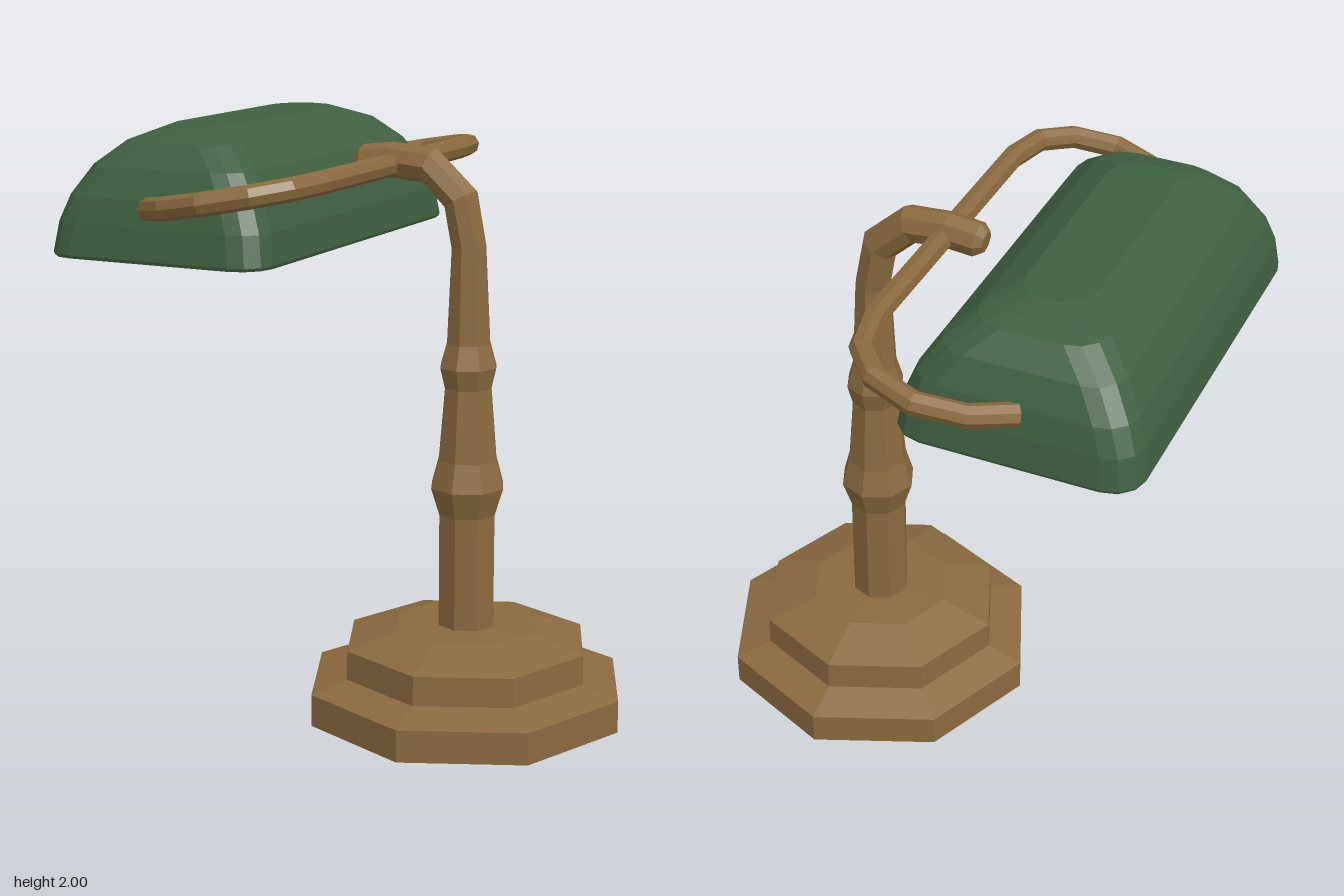
import * as THREE from 'three';

const V = (x, y, z) => new THREE.Vector3(x, y, z);

// Skin a list of equal-length rings (counter-clockwise about the path), capped at both ends.
function loft(rings) {
  const pos = [];
  const tri = (...p) => p.forEach((v) => pos.push(v.x, v.y, v.z));
  const n = rings[0].length;
  for (let i = 0; i < rings.length - 1; i++) {
    for (let j = 0; j < n; j++) {
      const k = (j + 1) % n;
      const [a, b, c, d] = [rings[i][j], rings[i][k], rings[i + 1][k], rings[i + 1][j]];
      tri(a, b, c);
      tri(a, c, d);
    }
  }
  const cap = (ring, flip) => {
    const mid = ring.reduce((s, p) => s.add(p), V(0, 0, 0)).divideScalar(n);
    ring.forEach((p, j) => {
      const q = ring[(j + 1) % n];
      flip ? tri(mid, q, p) : tri(mid, p, q);
    });
  };
  cap(rings[0], true);
  cap(rings[rings.length - 1], false);
  const g = new THREE.BufferGeometry();
  g.setAttribute('position', new THREE.Float32BufferAttribute(pos, 3));
  g.computeVertexNormals();
  return g;
}

// Sweep a polygon along a planar path; normal is the plane's normal.
function sweep(points, radii, normal, sides = 8) {
  const rings = points.map((p, i) => {
    const before = points[Math.max(i - 1, 0)];
    const after = points[Math.min(i + 1, points.length - 1)];
    const t1 = i > 0 ? p.clone().sub(before).normalize() : V(0, 0, 0);
    const t2 = i < points.length - 1 ? after.clone().sub(p).normalize() : V(0, 0, 0);
    const side = t1.add(t2).normalize().cross(normal);
    return Array.from({ length: sides }, (_, j) => {
      const a = (j / sides) * Math.PI * 2;
      return p.clone()
        .addScaledVector(normal, Math.cos(a) * radii[i])
        .addScaledVector(side, Math.sin(a) * radii[i]);
    });
  });
  return loft(rings);
}

// Horizontal rounded rectangle with half sizes hx, hz.
function roundedRing(cx, y, hx, hz, r, steps = 3) {
  const ring = [];
  for (let q = 0; q < 4; q++) {
    const sx = q === 0 || q === 3 ? 1 : -1;
    const sz = q < 2 ? -1 : 1;
    for (let s = 0; s <= steps; s++) {
      const a = (q + s / steps) * Math.PI / 2;
      ring.push(V(cx + sx * (hx - r) + Math.cos(a) * r, y, sz * (hz - r) - Math.sin(a) * r));
    }
  }
  return ring;
}

export function createModel() {
  const group = new THREE.Group();
  const material = (name, color) => {
    const m = new THREE.MeshStandardMaterial({ color });
    m.name = name;
    return m;
  };
  const brass = material('brass', 0x8a6a3e);
  const green = material('greenGlass', 0x3e6040);
  const black = material('blackSocket', 0x0c0c0c);
  const glow = material('bulbGlass', 0xdcc882);
  const add = (name, geometry, mat) => {
    const mesh = new THREE.Mesh(geometry, mat);
    mesh.name = name;
    group.add(mesh);
  };

  // Stepped octagonal base
  const cx = 0.316;
  const base = [[0, 0.555], [0.11, 0.555], [0.15, 0.43], [0.25, 0.427], [0.305, 0.25], [0.306, 0.1]];
  add('base', sweep(base.map(([y]) => V(cx, y, 0)), base.map((b) => b[1]), V(0, 0, 1)), brass);

  // Turned stem that bends over into the hook: x, y, radius
  const stem = [
    [cx, 0.3, 0.1], [cx, 0.695, 0.1], [cx, 0.79, 0.13], [cx, 0.885, 0.104],
    [cx, 1.13, 0.083], [cx, 1.2, 0.1], [cx, 1.28, 0.077], [0.314, 1.6, 0.061],
    [0.284, 1.755, 0.063], [0.17, 1.86, 0.063], [0.04, 1.871, 0.06],
    [-0.065, 1.86, 0.058], [-0.09, 1.857, 0.038],
  ];
  add('stem', sweep(stem.map(([x, y]) => V(x, y, 0)), stem.map((s) => s[2]), V(0, 0, 1)), brass);

  // Yoke holding the shade at both ends, mirrored across z = 0
  const slope = 0.18;
  const half = [[-0.49, 0.68], [-0.37, 0.775], [-0.22, 0.815], [-0.075, 0.775], [0.012, 0.68], [0.045, 0.53]];
  const path = [
    ...half.map(([x, z]) => [x, -z]),
    ...half.slice().reverse(),
  ].map(([x, z]) => V(x, 1.857 + (x - 0.045) * slope, z));
  add('yoke', sweep(path, path.map(() => 0.038), V(-slope, 1, 0).normalize()), brass);

  // Hollow shade: inner skin downward, round the rim, then outer skin upward
  const shade = [
    [1.59, 0.393, 0.717], [1.6, 0.397, 0.72], [1.7, 0.382, 0.703], [1.785, 0.35, 0.68],
    [1.88, 0.29, 0.632], [1.955, 0.205, 0.56], [2.0, 0.113, 0.43],
  ];
  const sx = -0.4775;
  const inner = shade.slice(1).reverse()
    .map(([y, hx, hz]) => roundedRing(sx, y - 0.03 * (y > 1.65), hx - 0.035, hz - 0.035, 0.07));
  const rim = roundedRing(sx, 1.588, 0.37, 0.693, 0.08);
  const outer = shade.map(([y, hx, hz]) => roundedRing(sx, y, hx, hz, 0.105));
  add('shade', loft([...inner, rim, ...outer]), green);

  // Socket and bulb lying along z under the shade: z, radius
  const alongZ = (profile) => sweep(
    profile.map(([z]) => V(-0.43, 1.655, z)), profile.map((p) => p[1]), V(0, 1, 0), 6);
  add('socket', alongZ([[0.44, 0.1], [0.06, 0.13], [-0.06, 0.13], [-0.15, 0.105]]), black);
  add('bulb', alongZ([
    [-0.12, 0.06], [-0.2, 0.095], [-0.28, 0.145], [-0.35, 0.165], [-0.42, 0.164],
    [-0.49, 0.135], [-0.54, 0.085], [-0.56, 0.02],
  ]), glow);

  return group;
}
